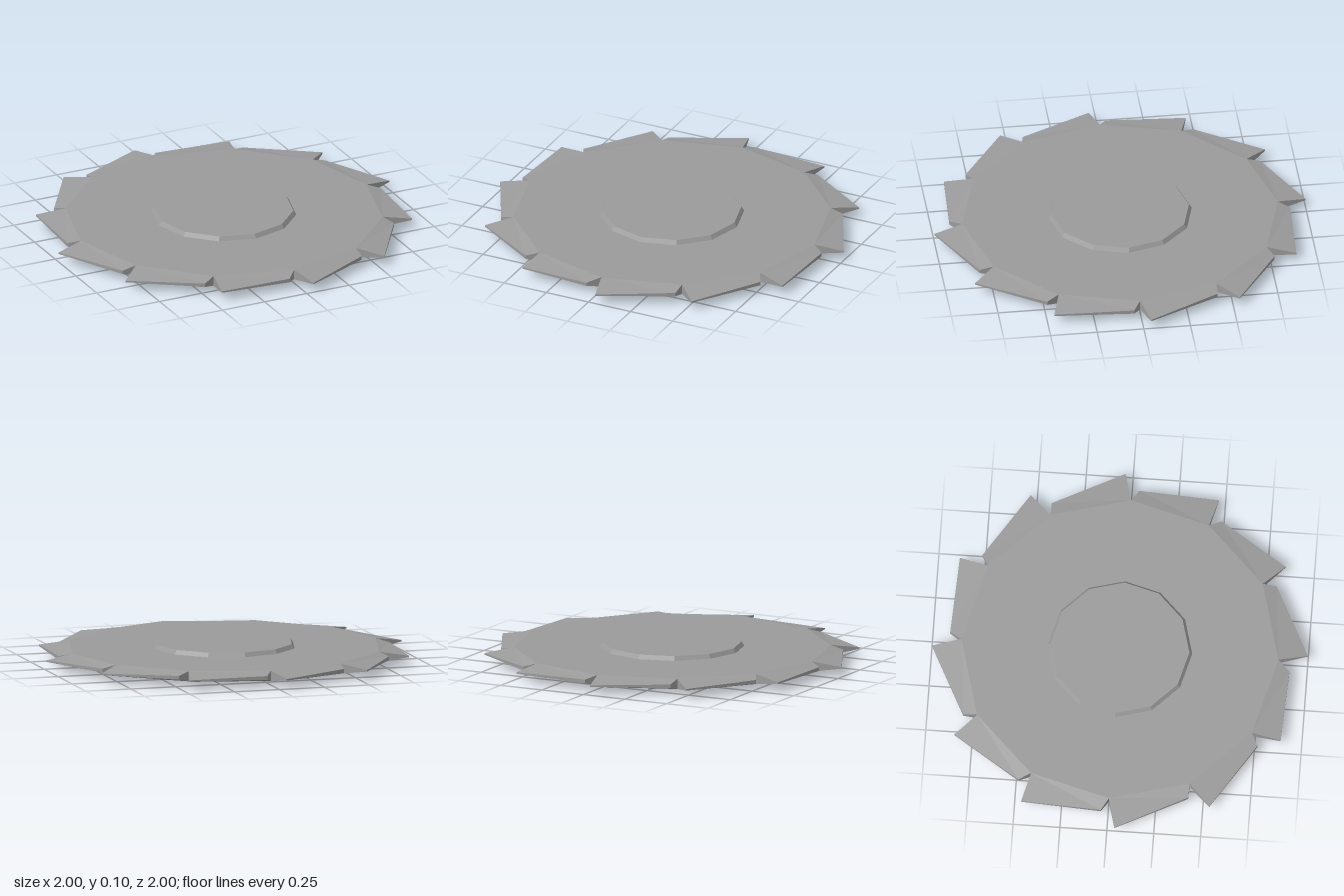
import * as THREE from 'three';

const TEETH = 12, MID = 0.05;
const PLATE_R = 0.845, PLATE_HALF = 0.0275;

const material = new THREE.MeshStandardMaterial({ color: 0x9b9b9b, flatShading: true });

// One tooth: a wedge on one side of the plate, thinning towards its cutting edge.
// trim shortens the cutting edge at both ends
function toothGeometry(trim) {
  const step = (2 * Math.PI) / TEETH;
  // x, z and half thickness of each corner
  const corners = [
    [0, PLATE_R, PLATE_HALF],
    [0.04 + trim, 1.0, 0.004],
    [0.42 - trim, 0.806 + trim / 2, 0.01],
    [PLATE_R * Math.sin(step), PLATE_R * Math.cos(step), PLATE_HALF],
  ];
  // keep the trimmed tip on the line of the cutting edge
  corners[1][1] -= trim / 2;
  const top = corners.map(([x, z, h]) => [x, MID + h, z]);
  const bottom = corners.map(([x, z, h]) => [x, MID - h, z]);
  const positions = [];
  const quad = (a, b, c, d) => positions.push(...a, ...b, ...c, ...a, ...c, ...d);
  quad(...top);
  quad(...[...bottom].reverse());
  for (let i = 0; i < 3; i++) quad(top[i], bottom[i], bottom[i + 1], top[i + 1]);
  const geometry = new THREE.BufferGeometry();
  geometry.setAttribute('position', new THREE.Float32BufferAttribute(positions, 3));
  geometry.computeVertexNormals();
  return geometry;
}

export function createModel() {
  const group = new THREE.Group();
  group.name = 'sawBlade';

  // Flat twelve-sided plate
  const plate = new THREE.Mesh(
    new THREE.CylinderGeometry(PLATE_R, PLATE_R, PLATE_HALF * 2, TEETH), material);
  plate.position.y = MID;
  plate.name = 'plate';
  group.add(plate);

  // Raised hub with bevelled rims on both faces
  const profile = [[0, 0], [0.37, 0], [0.385, 0.0225], [0.385, 0.0775], [0.37, 0.1], [0, 0.1]];
  const hub = new THREE.Mesh(
    new THREE.LatheGeometry(profile.map(([x, y]) => new THREE.Vector2(x, y)), TEETH), material);
  hub.name = 'hub';
  group.add(hub);

  // Ring of slanted teeth, the last one slightly narrower
  const teeth = new THREE.Group();
  teeth.name = 'teeth';
  const fullTooth = toothGeometry(0), narrowTooth = toothGeometry(0.016);
  for (let i = 0; i < TEETH; i++) {
    const tooth = new THREE.Mesh(i === TEETH - 1 ? narrowTooth : fullTooth, material);
    tooth.rotation.y = (i * 2 * Math.PI) / TEETH;
    tooth.name = 'tooth';
    teeth.add(tooth);
  }
  group.add(teeth);
  return group;
}
